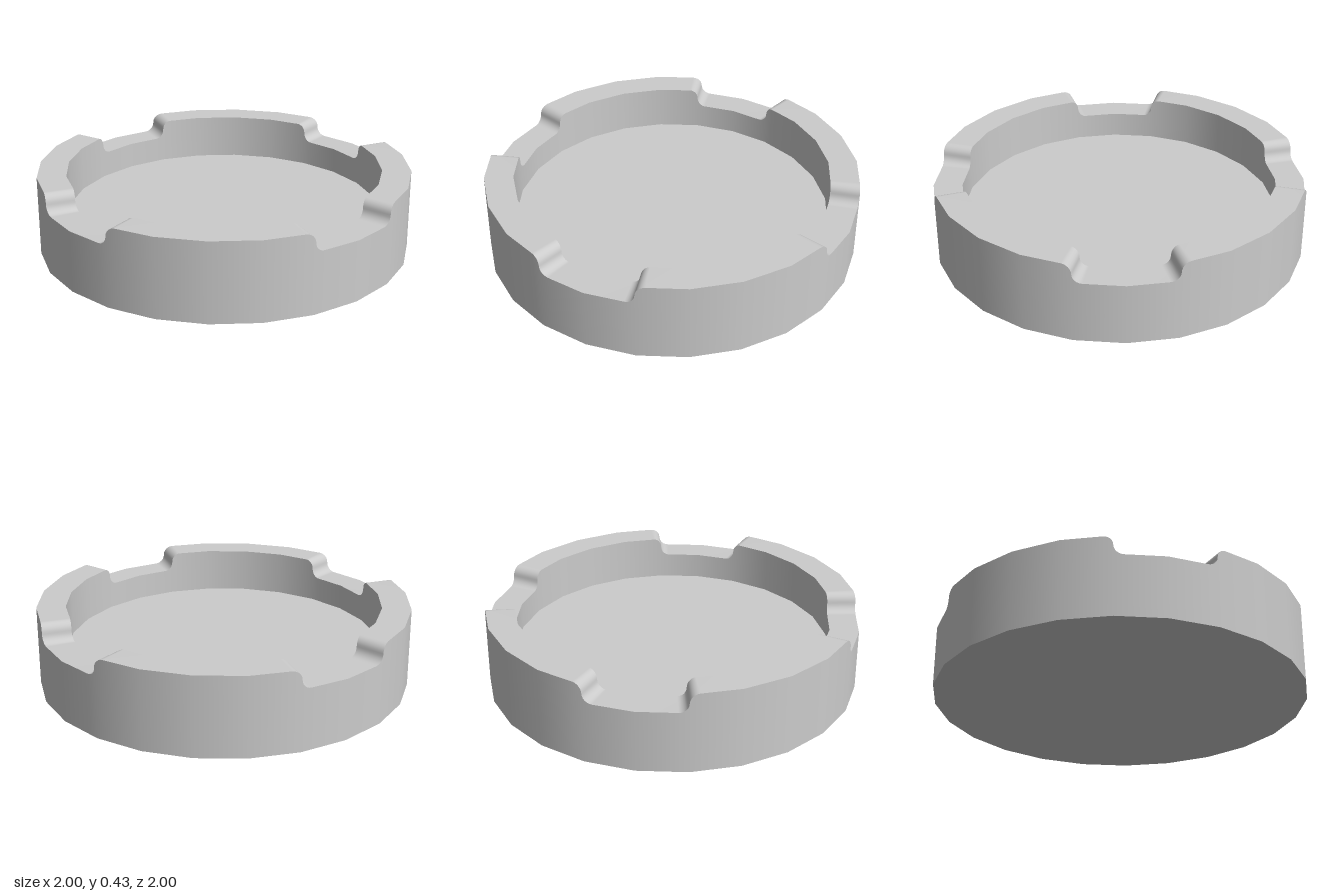
import * as THREE from 'three';

const OUTER = 1, INNER = 0.845, HIGH = 0.43, LOW = 0.33, FLOOR = 0.19, SIDES = 24;
const RAD = Math.PI / 180, STEP = 360 / SIDES;

// Rim heights as [degrees, y]: four notches, each side an S of two quarter arcs
function rimStations() {
  const s = [];
  const half = (HIGH - LOW) / 2;
  for (let k = 0; k <= 6; k++) {
    const p = k * 15 * RAD;
    s.push([12 + 3 * Math.sin(p), LOW + half * (1 - Math.cos(p))]);
  }
  for (let k = 5; k >= 0; k--) s.push([30 - s[k][0], HIGH + LOW - s[k][1]]);
  const mirrored = s.map(([a, y]) => [90 - a, y]).reverse();
  const quarter = [[0, LOW], ...s, [30, HIGH], [45, HIGH], [60, HIGH], ...mirrored];
  return [0, 90, 180, 270].flatMap(q => quarter.map(([a, y]) => [a + q, y]));
}

// Point on the many-sided outline at an angle
function outline(deg, radius, y) {
  const off = deg - Math.floor(deg / STEP + 1e-9) * STEP - STEP / 2;
  const r = radius * Math.cos(STEP / 2 * RAD) / Math.cos(off * RAD);
  return [r * Math.sin(deg * RAD), y, r * Math.cos(deg * RAD)];
}

// Closed band between two loops; radial = 1 or -1 gives round wall normals
function band(first, second, radial) {
  const n = first.length, index = [];
  for (let i = 0; i < n; i++) {
    const j = (i + 1) % n;
    index.push(i, j, n + j, i, n + j, n + i);
  }
  const g = new THREE.BufferGeometry();
  const points = [...first, ...second];
  g.setAttribute('position', new THREE.Float32BufferAttribute(points.flat(), 3));
  g.setIndex(index);
  if (radial) {
    const normals = points.flatMap(([x, , z]) => {
      const l = Math.hypot(x, z) * radial;
      return [x / l, 0, z / l];
    });
    g.setAttribute('normal', new THREE.Float32BufferAttribute(normals, 3));
  } else g.computeVertexNormals();
  return g;
}

export function createModel() {
  const group = new THREE.Group();
  group.name = 'notchedDish';
  const material = new THREE.MeshStandardMaterial({ color: 0xcccccc });
  const add = (name, geometry) => {
    const mesh = new THREE.Mesh(geometry, material);
    mesh.name = name;
    group.add(mesh);
  };

  const stations = rimStations();
  const loop = (radius, height) => stations.map(([a, y]) => outline(a, radius, height ?? y));

  // Walls and notched rim
  add('outerWall', band(loop(OUTER, 0), loop(OUTER), 1));
  add('rim', band(loop(OUTER), loop(INNER)));
  add('innerWall', band(loop(INNER), loop(INNER, FLOOR), -1));

  // Dish floor and underside
  add('floor', new THREE.CircleGeometry(INNER, SIDES).rotateX(-Math.PI / 2).translate(0, FLOOR, 0));
  add('underside', new THREE.CircleGeometry(OUTER, SIDES).rotateX(Math.PI / 2));
  return group;
}
